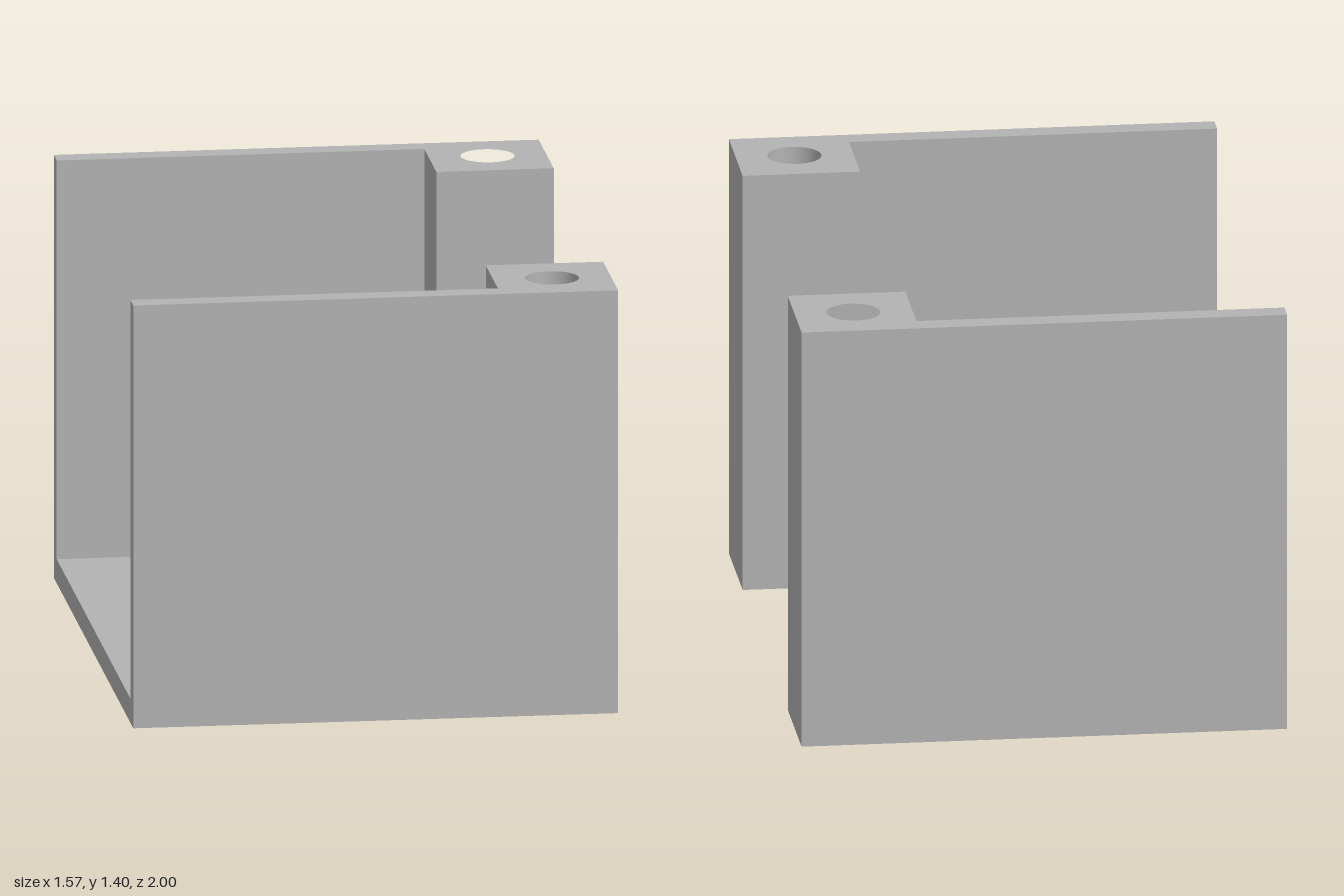
import * as THREE from 'three';
import { toCreasedNormals } from 'three/addons/utils/BufferGeometryUtils.js';

const HEIGHT = 1.4;
const X = 0.785;        // half width
const POST_X = 0.405;   // inner edge of the posts and end of the floor
const POST_Z = 0.62;    // inner face of the posts
const WALL_Z = 0.925;   // inner face of the walls
const FLOOR = 0.08;     // floor thickness

// Side wall with its bored corner post, as one L-shaped extrusion
function sideWall(side, material) {
  const outline = [
    [-X, 1], [X, 1], [X, POST_Z], [POST_X, POST_Z], [POST_X, WALL_Z], [-X, WALL_Z],
  ];
  const shape = new THREE.Shape(outline.map(([x, z]) => new THREE.Vector2(x, -side * z)));
  const bore = new THREE.Path();
  bore.absarc(0.595, -side * 0.81, 0.087, 0, Math.PI * 2, true);
  shape.holes.push(bore);

  const extruded = new THREE.ExtrudeGeometry(shape, {
    depth: HEIGHT, bevelEnabled: false, curveSegments: 24,
  });
  extruded.rotateX(-Math.PI / 2);
  const wall = new THREE.Mesh(toCreasedNormals(extruded, Math.PI / 6), material);
  wall.name = side > 0 ? 'frontWallWithPost' : 'backWallWithPost';
  return wall;
}

export function createModel() {
  const model = new THREE.Group();
  model.name = 'bracket';
  const grey = new THREE.MeshStandardMaterial({ color: 0xb3b3b3 });
  grey.name = 'grey';

  // Mirrored walls
  for (const side of [1, -1]) model.add(sideWall(side, grey));

  // Floor plate between the walls
  const floor = new THREE.Mesh(new THREE.BoxGeometry(X + POST_X, FLOOR, 2 * WALL_Z), grey);
  floor.position.set((POST_X - X) / 2, FLOOR / 2, 0);
  floor.name = 'floor';
  model.add(floor);

  return model;
}
